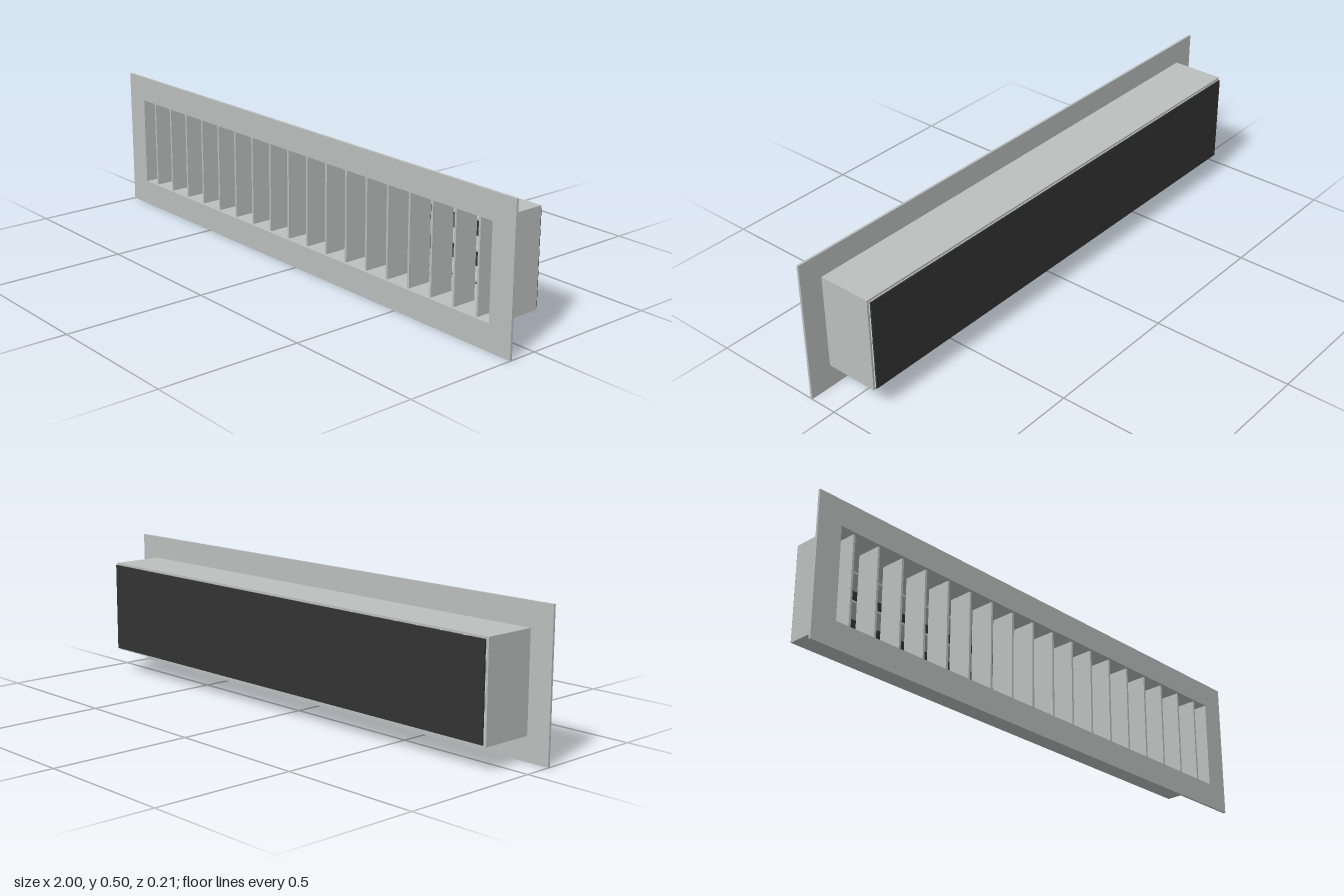
import * as THREE from 'three';

const metal = new THREE.MeshStandardMaterial({ color: 0xbbbfbe });
metal.name = 'pale grey metal';
const dark = new THREE.MeshStandardMaterial({ color: 0x333333 });
dark.name = 'dark damper';

const MID_Y = 0.25;
const OPEN_W = 1.82, OPEN_H = 0.32;

// Rectangular ring with a centred opening, running from z0 to z1
function ring(name, w, h, z0, z1) {
  const shape = new THREE.Shape();
  shape.moveTo(-w / 2, -h / 2).lineTo(w / 2, -h / 2).lineTo(w / 2, h / 2).lineTo(-w / 2, h / 2).closePath();
  const hole = new THREE.Path();
  const a = OPEN_W / 2, b = OPEN_H / 2;
  hole.moveTo(-a, -b).lineTo(-a, b).lineTo(a, b).lineTo(a, -b).closePath();
  shape.holes.push(hole);
  const geo = new THREE.ExtrudeGeometry(shape, { depth: z1 - z0, bevelEnabled: false });
  const mesh = new THREE.Mesh(geo, metal);
  mesh.name = name;
  mesh.position.set(0, MID_Y, z0);
  return mesh;
}

function box(name, material, size, x, y, z) {
  const mesh = new THREE.Mesh(new THREE.BoxGeometry(...size), material);
  mesh.name = name;
  mesh.position.set(x, y, z);
  return mesh;
}

export function createModel() {
  const model = new THREE.Group();
  model.name = 'ventGrille';

  // Front flange and the open duct behind it
  model.add(ring('flange', 2, 0.5, 0.096, 0.104));
  model.add(ring('duct', 1.834, 0.334, -0.095, 0.096));

  // Upright blades in the front half
  const blades = new THREE.Group();
  blades.name = 'verticalBlades';
  for (let i = 0; i < 18; i++) {
    blades.add(box('verticalBlade', metal, [0.008, OPEN_H, 0.088], -0.85 + i * 0.1, MID_Y, 0.05));
  }
  model.add(blades);

  // Level blades in the rear half
  const bars = new THREE.Group();
  bars.name = 'horizontalBlades';
  for (let i = -1; i <= 1; i++) {
    bars.add(box('horizontalBlade', metal, [OPEN_W, 0.008, 0.088], 0, MID_Y + i * 0.1, -0.045));
  }
  model.add(bars);

  // Dark plate just behind the duct
  model.add(box('damperPlate', dark, [OPEN_W, OPEN_H, 0.005], 0, MID_Y, -0.102));

  return model;
}
